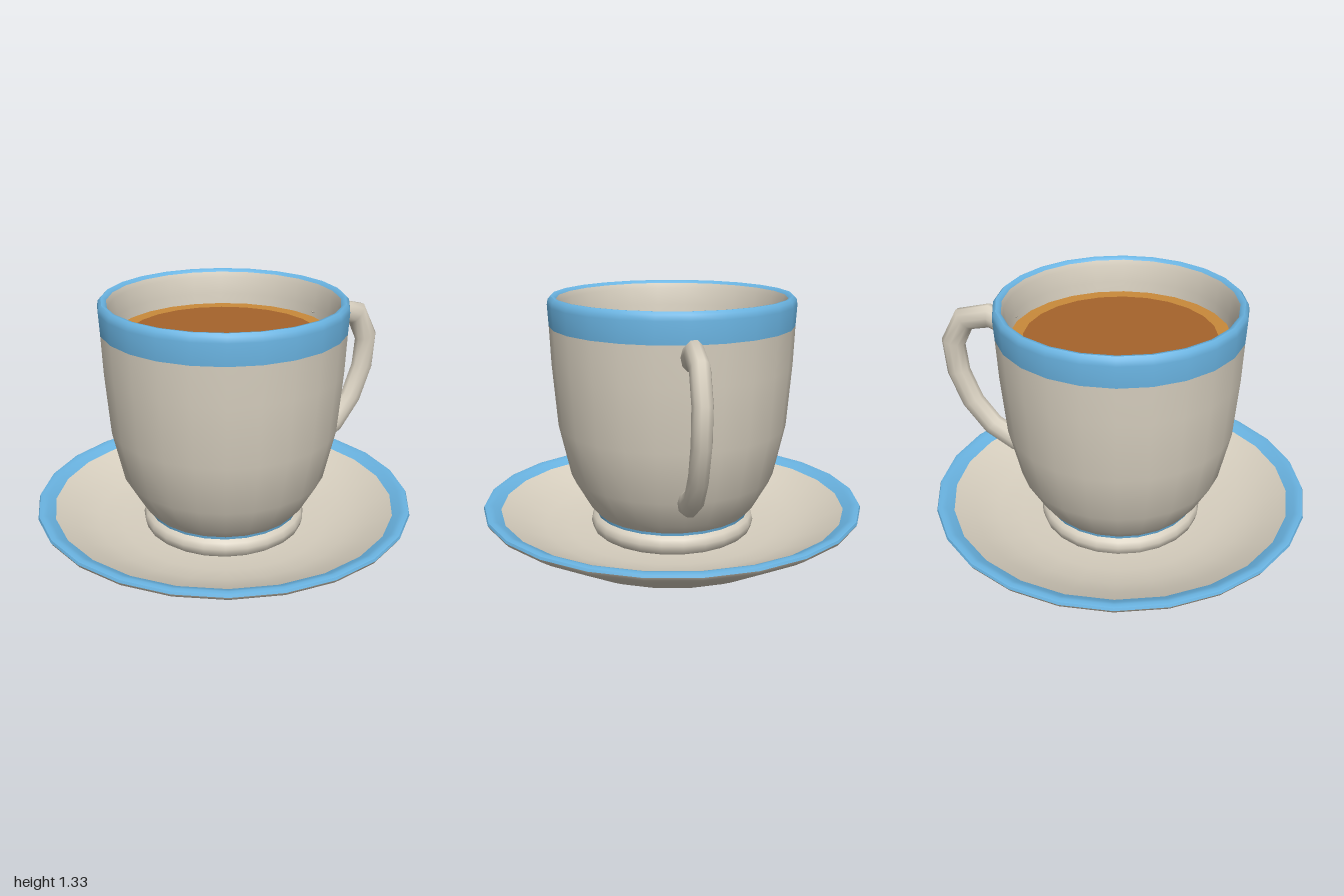
import * as THREE from 'three';
import { toCreasedNormals } from 'three/addons/utils/BufferGeometryUtils.js';

const SIDES = 24;

function material(name, color) {
  const m = new THREE.MeshStandardMaterial({ color });
  m.name = name;
  return m;
}

// Turned part: profile of [radius, height], running upwards on outer faces
function turned(name, profile, mat) {
  const points = profile.map(([r, y]) => new THREE.Vector2(r, y));
  const mesh = new THREE.Mesh(toCreasedNormals(new THREE.LatheGeometry(points, SIDES), 0.7), mat);
  mesh.name = name;
  return mesh;
}

// Bend a cylinder along a path in the xy plane, with an oval section
function bentRod(path, inPlane, depth) {
  const n = path.length - 1;
  const geo = new THREE.CylinderGeometry(1, 1, 1, 10, n);
  const pos = geo.attributes.position;
  for (let k = 0; k < pos.count; k++) {
    const i = Math.round((0.5 - pos.getY(k)) * n);
    const a = path[Math.max(i - 1, 0)], b = path[Math.min(i + 1, n)];
    const tx = b[0] - a[0], ty = b[1] - a[1], len = Math.hypot(tx, ty);
    const offset = pos.getX(k) * inPlane / len;
    pos.setXYZ(k, path[i][0] - ty * offset, path[i][1] + tx * offset, pos.getZ(k) * depth);
  }
  return toCreasedNormals(geo, 1.1);
}

export function createModel() {
  const cream = material('cream china', 0xd8d0c0);
  const blue = material('blue glaze', 0x6ab4e2);
  const tea = material('tea', 0xa5632b);
  const teaEdge = material('tea edge', 0xc8893a);

  const model = new THREE.Group();
  model.name = 'cupAndSaucer';

  // Saucer: underside with shallow recess, blue lip, dished top
  const saucer = new THREE.Group();
  saucer.name = 'saucer';
  saucer.add(
    turned('saucerUnderside', [[0, 0.02], [0.57, 0.02], [0.6, 0], [0.635, 0], [0.72, 0.045],
      [0.93, 0.165], [0.99, 0.205], [1, 0.222]], cream),
    turned('saucerLip', [[1, 0.222], [0.995, 0.235], [0.975, 0.24], [0.95, 0.232], [0.91, 0.21]], blue),
    turned('saucerTop', [[0.91, 0.21], [0.8, 0.155], [0.68, 0.11], [0.55, 0.085], [0.4, 0.075],
      [0, 0.075]], cream),
  );

  // Cup: foot, blue foot line, body, blue rim band and inner wall
  const cup = new THREE.Group();
  cup.name = 'cup';
  cup.add(
    turned('foot', [[0, 0.07], [0.4, 0.07], [0.425, 0.09], [0.435, 0.13], [0.425, 0.16],
      [0.405, 0.175]], cream),
    turned('footLine', [[0.405, 0.175], [0.408, 0.19]], blue),
    turned('body', [[0.408, 0.19], [0.45, 0.24], [0.535, 0.39], [0.595, 0.66], [0.62, 0.98],
      [0.628, 1.18]], cream),
    turned('rimBand', [[0.628, 1.18], [0.634, 1.29], [0.629, 1.318], [0.615, 1.332],
      [0.6, 1.33], [0.588, 1.318]], blue),
    turned('innerWall', [[0.588, 1.318], [0.578, 1.29], [0.565, 1.2], [0.555, 1.1], [0.54, 0.95]], cream),
  );

  // Drink: lighter ring around a darker disc
  const drink = new THREE.Group();
  drink.name = 'drink';
  drink.add(
    turned('drinkEdge', [[0.562, 1.145], [0.492, 1.142]], teaEdge),
    turned('drinkSurface', [[0.492, 1.142], [0, 1.142]], tea),
  );
  cup.add(drink);

  // Handle on the model's left
  const handle = new THREE.Mesh(bentRod([[0.58, 1.11], [0.715, 1.157], [0.86, 1.12], [0.935, 0.978],
    [0.92, 0.805], [0.85, 0.63], [0.74, 0.495], [0.61, 0.42], [0.49, 0.385]], 0.066, 0.048), cream);
  handle.name = 'handle';
  cup.add(handle);

  model.add(saucer, cup);
  return model;
}
